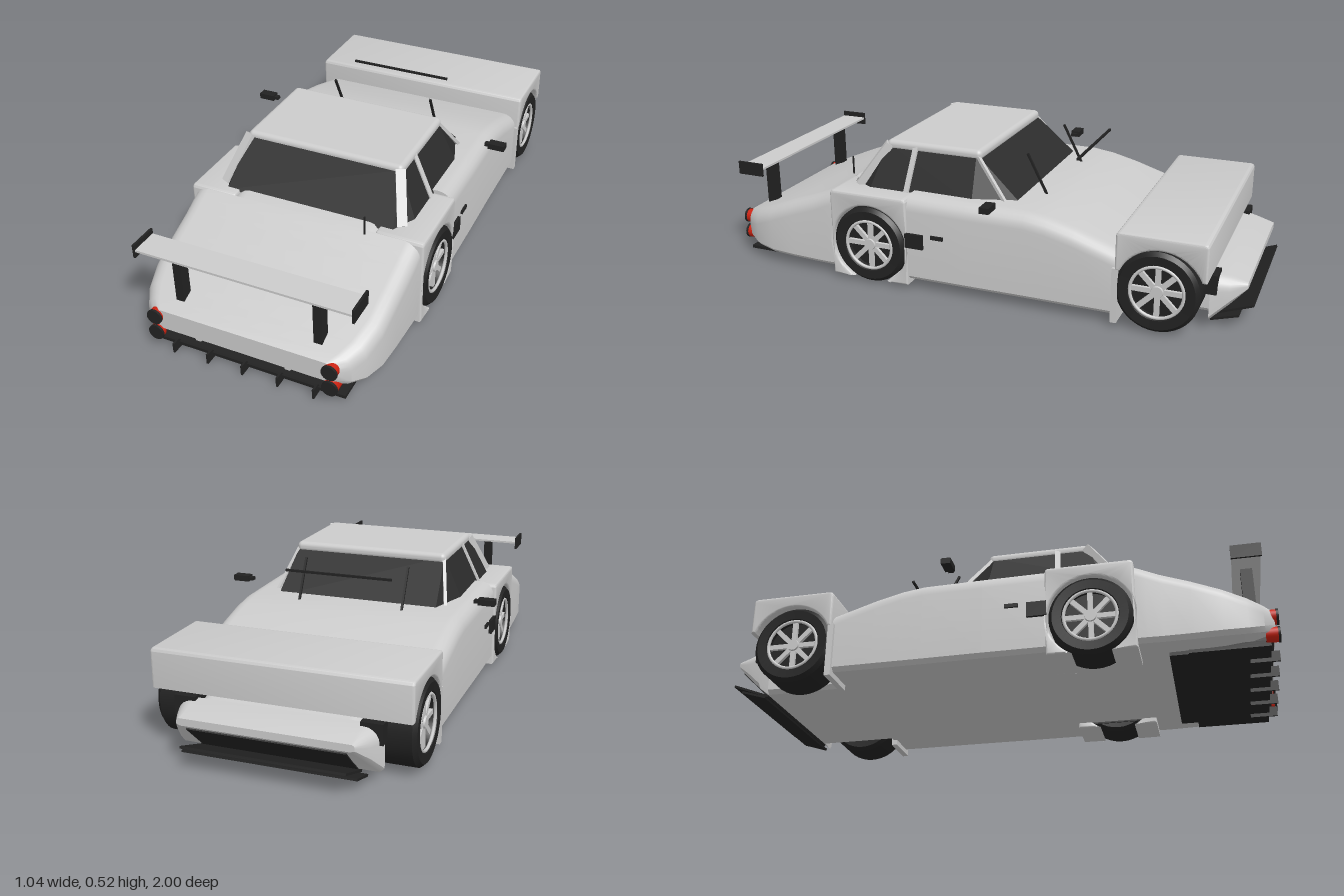
import * as THREE from 'three';
import { toCreasedNormals } from 'three/addons/utils/BufferGeometryUtils.js';
import { RoundedBoxGeometry } from 'three/addons/geometries/RoundedBoxGeometry.js';
import { ConvexGeometry } from 'three/addons/geometries/ConvexGeometry.js';

const paint = new THREE.MeshStandardMaterial({ color: 0xcccccc });
const black = new THREE.MeshStandardMaterial({ color: 0x222222 });
const glass = new THREE.MeshStandardMaterial({ color: 0x2c2c2c });
const red = new THREE.MeshStandardMaterial({ color: 0xcc2211 });
const V = (x, y, z) => new THREE.Vector3(x, y, z);

export function createModel() {
  const car = new THREE.Group();
  car.name = 'raceCar';

  const add = (name, geo, mat, x = 0, y = 0, z = 0, parent = car) => {
    const m = new THREE.Mesh(geo, mat);
    m.name = name;
    m.position.set(x, y, z);
    parent.add(m);
    return m;
  };
  const box = (name, mat, w, h, d, x, y, z) => add(name, new THREE.BoxGeometry(w, h, d), mat, x, y, z);
  // flat bar running between two points
  const bar = (name, mat, a, b, w, h) => {
    const m = add(name, new THREE.BoxGeometry(w, h, a.distanceTo(b)), mat);
    m.position.copy(a).lerp(b, 0.5);
    m.lookAt(b);
    return m;
  };

  // Cross-section of the body: square floor, rounded shoulders
  const ring = ([z, w, yb, yt]) => {
    const h = yt - yb, r = Math.min(0.055, h * 0.45), pts = [[w - 0.015, yb], [w, yb + Math.min(0.015, h * 0.2)]];
    for (let i = 0; i <= 5; i++) {
      const a = (i / 5) * Math.PI / 2;
      pts.push([w - r + r * Math.cos(a), yt - r + r * Math.sin(a)]);
    }
    const mirrored = pts.slice().reverse().map(([x, y]) => [-x, y]);
    return [...pts, ...mirrored].map(([x, y]) => [x, y, z]);
  };
  const loft = (sections) => {
    const rings = sections.map(ring), n = rings[0].length, idx = [];
    for (let i = 0; i < rings.length - 1; i++) {
      for (let j = 0; j < n; j++) {
        const a = i * n + j, b = i * n + (j + 1) % n;
        idx.push(a, b, b + n, a, b + n, a + n);
      }
    }
    const last = (rings.length - 1) * n;
    for (let j = 1; j < n - 1; j++) idx.push(0, j + 1, j, last, last + j, last + j + 1);
    const g = new THREE.BufferGeometry();
    g.setAttribute('position', new THREE.Float32BufferAttribute(rings.flat(2), 3));
    g.setIndex(idx);
    return toCreasedNormals(g, 0.6);
  };

  // Body shell from nose (-z) to tail (+z), narrowed beside the wheels
  add('body', loft([
    [-0.975, 0.30, 0.15, 0.175], [-0.92, 0.33, 0.095, 0.19], [-0.86, 0.355, 0.04, 0.2],
    [-0.855, 0.29, 0.04, 0.2], [-0.56, 0.29, 0.04, 0.272],
    [-0.56, 0.435, 0.04, 0.272], [-0.4, 0.435, 0.04, 0.322], [-0.3, 0.435, 0.04, 0.347],
    [-0.22, 0.435, 0.04, 0.358], [0, 0.437, 0.04, 0.36], [0.228, 0.437, 0.04, 0.362],
    [0.228, 0.29, 0.04, 0.362], [0.46, 0.29, 0.04, 0.362], [0.53, 0.29, 0.04, 0.348],
    [0.53, 0.435, 0.04, 0.348], [0.57, 0.435, 0.04, 0.33], [0.62, 0.433, 0.04, 0.308],
    [0.72, 0.43, 0.042, 0.272], [0.82, 0.425, 0.046, 0.232], [0.9, 0.405, 0.055, 0.2],
    [0.95, 0.375, 0.07, 0.18], [0.985, 0.335, 0.09, 0.165],
  ]), paint);

  // Arched panels, drawn as (z, y) and extruded along x
  const arch = (x0, x1, zc, bottom) => {
    const R = 0.151, c = 0.155, w = 0.155, hw = Math.sqrt(R * R - (c - bottom) ** 2);
    const a = Math.atan2(bottom - c, hw);
    const s = new THREE.Shape();
    s.moveTo(-w, bottom);
    s.lineTo(-w, 0.335);
    s.quadraticCurveTo(-w, 0.352, -w + 0.017, 0.352);
    s.lineTo(w - 0.017, 0.352);
    s.quadraticCurveTo(w, 0.352, w, 0.335);
    s.lineTo(w, bottom);
    s.lineTo(hw, bottom);
    s.absarc(0, c, R, a, Math.PI - a, false);
    const b = 0.008;
    const g = new THREE.ExtrudeGeometry(s, {
      depth: x1 - x0 - 2 * b, bevelSize: b, bevelOffset: -b, bevelThickness: b, bevelSegments: 3, curveSegments: 32,
    });
    g.rotateY(-Math.PI / 2);
    g.translate(x1 - b, 0, zc);
    return toCreasedNormals(g, 0.6);
  };
  add('frontFenderBridge', arch(-0.45, 0.45, -0.71, 0.215), paint);
  add('leftRearFender', arch(0.27, 0.446, 0.38, 0.02), paint);
  add('rightRearFender', arch(-0.446, -0.27, 0.38, 0.02), paint);

  // Wheels: tyre, rim, dark brake disc and spokes
  const tyreProfile = [[0.094, -0.06], [0.1, -0.072], [0.132, -0.074], [0.145, -0.06], [0.145, 0.06],
    [0.132, 0.074], [0.1, 0.072], [0.094, 0.06], [0.094, -0.06]].map(p => new THREE.Vector2(...p));
  const tyreGeo = toCreasedNormals(new THREE.LatheGeometry(tyreProfile, 40), 0.7);
  const wheel = (name, side, z) => {
    const g = new THREE.Group();
    g.name = name;
    g.position.set(side * 0.376, 0.155, z);
    g.rotation.z = -side * Math.PI / 2;
    car.add(g);
    add('tyre', tyreGeo, black, 0, 0, 0, g);
    add('brakeDisc', new THREE.CylinderGeometry(0.094, 0.094, 0.08, 32), black, 0, 0, 0, g);
    const lip = add('rimLip', new THREE.TorusGeometry(0.092, 0.006, 8, 40), paint, 0, 0.066, 0, g);
    lip.rotation.x = Math.PI / 2;
    add('hub', new THREE.CylinderGeometry(0.02, 0.026, 0.025, 20), paint, 0, 0.052, 0, g);
    for (let i = 0; i < 8; i++) {
      const spoke = new THREE.BoxGeometry(0.075, 0.012, 0.018);
      spoke.translate(0.053, 0.052, 0);
      spoke.rotateY(i * Math.PI / 4);
      add('spoke', spoke, paint, 0, 0, 0, g);
    }
  };

  // Cabin: dark glass hull with roof and pillars
  const hull = [];
  for (const s of [-1, 1]) {
    hull.push(V(s * 0.31, 0.345, -0.17), V(s * 0.367, 0.345, 0), V(s * 0.367, 0.345, 0.41),
      V(s * 0.32, 0.345, 0.5), V(s * 0.292, 0.506, 0.01), V(s * 0.292, 0.506, 0.365));
  }
  add('cabinGlass', new ConvexGeometry(hull), glass);
  add('roof', new RoundedBoxGeometry(0.6, 0.04, 0.38, 4, 0.018), paint, 0, 0.501, 0.18);

  for (const s of [-1, 1]) {
    const side = s > 0 ? 'left' : 'right';
    wheel(side + 'FrontWheel', s, -0.70);
    wheel(side + 'RearWheel', s, 0.38);
    bar(side + 'FrontPillar', paint, V(s * 0.335, 0.35, -0.12), V(s * 0.29, 0.505, 0.01), 0.012, 0.012);
    bar(side + 'MiddlePillar', paint, V(s * 0.366, 0.35, 0.26), V(s * 0.294, 0.505, 0.25), 0.02, 0.01);
    bar(side + 'RearPillar', paint, V(s * 0.34, 0.35, 0.465), V(s * 0.288, 0.505, 0.36), 0.035, 0.03);

    // Front wheel housings and the lips behind the front wheels
    box(side + 'WheelHousing', black, 0.075, 0.07, 0.08, s * 0.32, 0.175, -0.842);
    box(side + 'FrontArchLip', paint, 0.15, 0.2, 0.022, s * 0.373, 0.12, -0.556);

    // Mirrors, side vents, handles and wipers
    box(side + 'Mirror', black, 0.062, 0.022, 0.035, s * 0.487, 0.386, -0.113);
    box(side + 'MirrorTip', black, 0.02, 0.012, 0.02, s * 0.45, 0.385, -0.113);
    box(side + 'SideVent', black, 0.014, 0.055, 0.07, s * 0.441, 0.198, 0.195);
    box(side + 'DoorHandle', black, 0.012, 0.014, 0.048, s * 0.438, 0.222, 0.105);
    bar(side + 'Wiper', black, V(s * 0.2, 0.355, -0.225), V(s * 0.2, 0.5, -0.15), 0.008, 0.008);

    // Rear wing supports
    box(side + 'WingStrut', black, 0.03, 0.185, 0.042, s * 0.253, 0.275, 0.915);
    box(side + 'WingEndPlate', black, 0.008, 0.05, 0.105, s * 0.39, 0.367, 0.915);

    // Stacked round tail lights
    for (const y of [0.14, 0.075]) {
      const lamp = add(side + 'TailLight', new THREE.CylinderGeometry(0.026, 0.026, 0.04, 28), red, s * 0.32, y, 0.972);
      const cover = add(side + 'TailLightCover', new THREE.CylinderGeometry(0.028, 0.028, 0.008, 28), black, s * 0.32, y, 0.996);
      lamp.rotation.x = cover.rotation.x = Math.PI / 2;
    }
    box(side + 'PlateLamp', paint, 0.02, 0.01, 0.01, s * 0.165, 0.086, 0.978);
    // Wheel well seen from beneath
    box(side + 'RearWheelWell', black, 0.004, 0.2, 0.26, s * 0.293, 0.14, 0.38);
  }

  // Rear wing, bumper strip and finned diffuser
  box('wingPlane', paint, 0.78, 0.008, 0.1, 0, 0.369, 0.915);
  box('rearBumperStrip', glass, 0.64, 0.04, 0.08, 0, 0.075, 0.937);
  box('diffuserPanel', black, 0.72, 0.012, 0.27, 0, 0.024, 0.83);
  box('diffuserMount', black, 0.66, 0.025, 0.32, 0, 0.04, 0.79);
  for (let i = -2; i <= 2; i++) box('diffuserFin', black, 0.007, 0.038, 0.1, i * 0.13, 0.023, 0.945);

  // Nose intake, splitter blades and small aerials
  box('noseIntake', black, 0.54, 0.006, 0.14, 0, 0.092, -0.917).rotation.x = 0.76;
  box('splitterBlade', black, 0.56, 0.008, 0.15, 0, 0.06, -0.927).rotation.x = 0.36;
  box('lowerSplitterBlade', black, 0.6, 0.008, 0.1, 0, 0.036, -0.905).rotation.x = 0.3;
  box('screenBar', black, 0.4, 0.008, 0.008, 0, 0.5, -0.337);
  box('aerial', black, 0.005, 0.07, 0.005, 0.24, 0.382, 0.55);

  return car;
}
